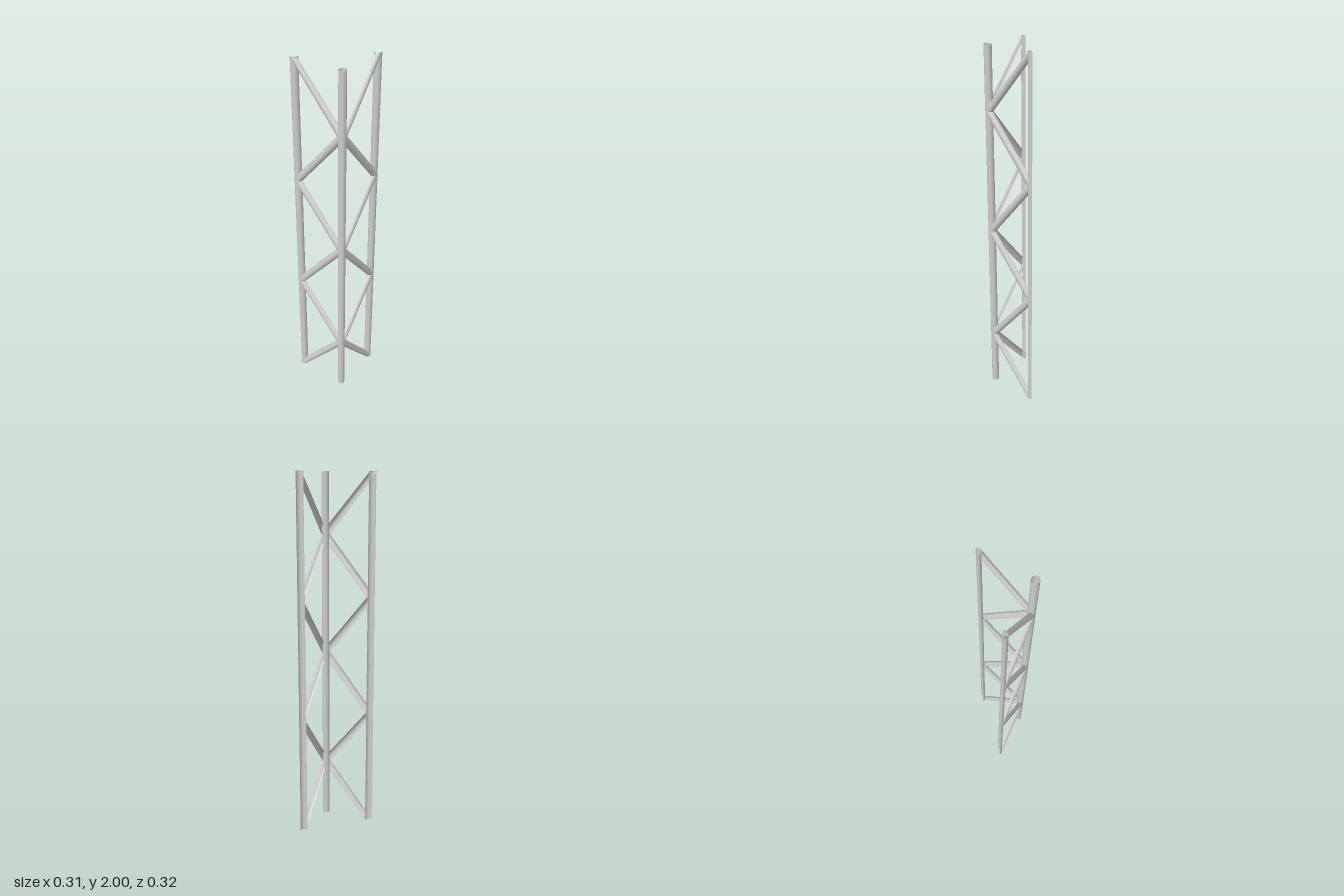
import * as THREE from 'three';

const R = 0.02;       // tube radius
const H = 0.14;       // post centre distance from the middle
const STEP = 2 / 6;   // rise of one brace

const material = new THREE.MeshStandardMaterial({ color: 0xcccccc, side: THREE.DoubleSide });

// Open vertical tube; the outer posts are halves split along the diagonal plane
function post(name, x, z, segments, start, length) {
  const mesh = new THREE.Mesh(
    new THREE.CylinderGeometry(R, R, 2, segments, 1, true, start, length), material);
  mesh.name = name;
  mesh.position.set(x, 1, z);
  return mesh;
}

// Outward half of a slanted tube from (-H, y0) to (H, y1), its ends coped around the posts
function brace(y0, y1, plainStart) {
  const slope = (y1 - y0) / (2 * H);
  const stretch = Math.hypot(1, slope);
  const geometry = new THREE.PlaneGeometry(1, 1, 1, 8);
  const p = geometry.attributes.position;
  for (let i = 0; i < p.count; i++) {
    const a = (0.5 - p.getY(i)) * Math.PI;
    const side = Math.sign(p.getX(i));
    let h = side * (H - R * Math.abs(Math.cos(a)));
    // square-cut end
    if (plainStart && side < 0) h = -H - R * Math.cos(a) * slope / stretch;
    const y = y0 + slope * (h + H) + R * Math.cos(a) * stretch;
    p.setXYZ(i, h, THREE.MathUtils.clamp(y, 0, 2), H + R * Math.sin(a));
  }
  geometry.computeVertexNormals();
  const mesh = new THREE.Mesh(geometry, material);
  mesh.name = 'brace';
  return mesh;
}

// Zigzag of six braces; cornerSide tells at which end the corner post stands
function bracing(name, cornerSide) {
  const group = new THREE.Group();
  group.name = name;
  for (let i = 0; i < 6; i++) {
    const low = i * STEP, high = low + STEP;
    const [outer, corner] = i % 2 ? [high, low] : [low, high];
    group.add(cornerSide < 0
      ? brace(corner, outer, false)
      : brace(outer, corner, i === 5));
  }
  return group;
}

export function createModel() {
  const model = new THREE.Group();
  model.name = 'latticeTower';

  // Posts
  model.add(post('cornerPost', -H, H, 16, 0, Math.PI * 2));
  model.add(post('frontPost', H, H, 8, -Math.PI * 0.75, Math.PI));
  model.add(post('backPost', -H, -H, 8, -Math.PI * 0.75, Math.PI));

  // Bracing on the front and on the -x side
  model.add(bracing('frontBracing', -1));
  const side = bracing('sideBracing', 1);
  side.rotation.y = -Math.PI / 2;
  model.add(side);

  return model;
}
